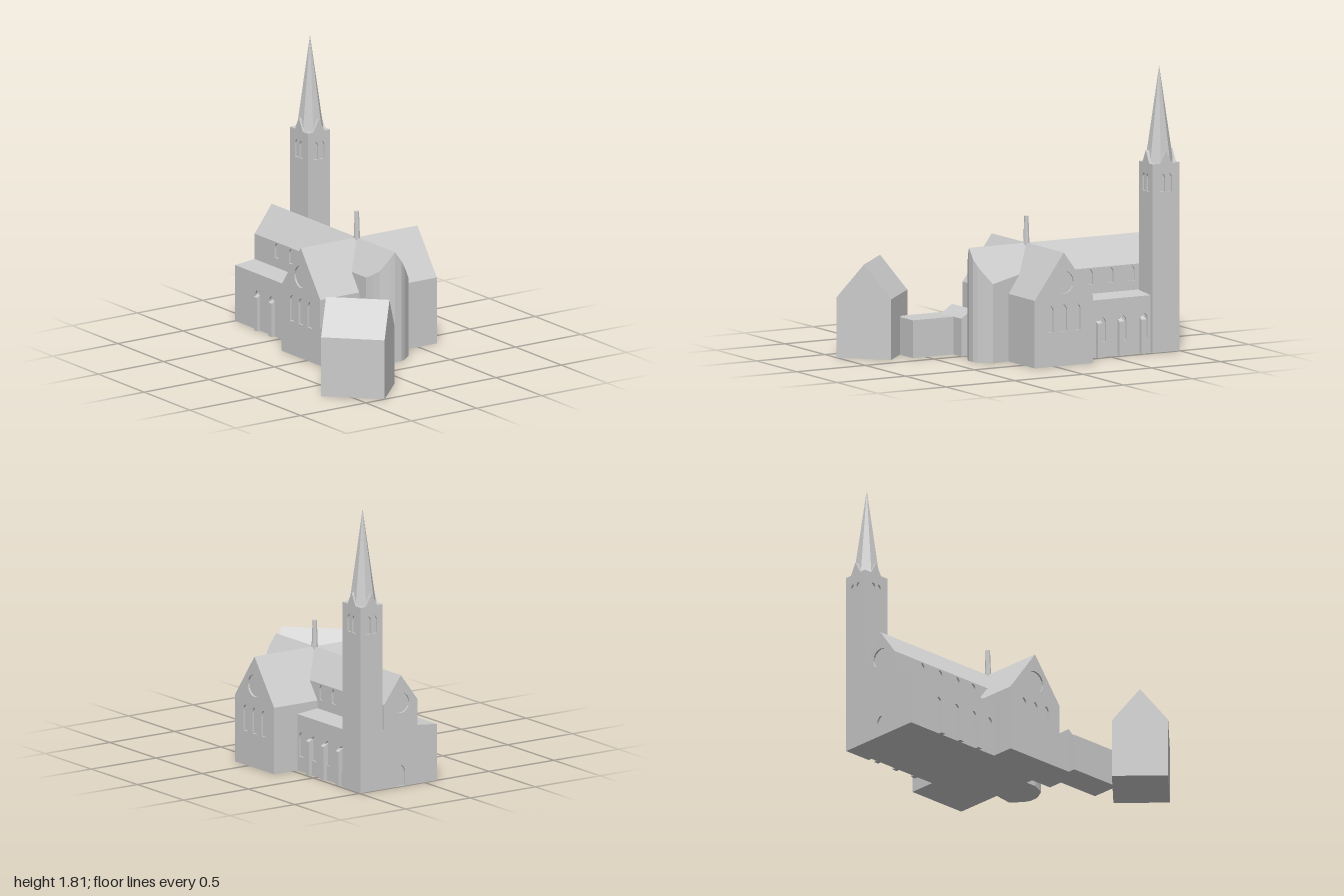
import * as THREE from 'three';

const stone = new THREE.MeshStandardMaterial({ color: 0xcccccc });
const T = 0.012; // depth of window recesses
const NZ = -0.18; // nave axis

function mesh(name, geo, parent, x = 0, y = 0, z = 0) {
  const m = new THREE.Mesh(geo, stone);
  m.name = name;
  m.position.set(x, y, z);
  parent.add(m);
  return m;
}

// Box given by its limits
function block(name, parent, x0, x1, y0, y1, z0, z1) {
  return mesh(name, new THREE.BoxGeometry(x1 - x0, y1 - y0, z1 - z0), parent,
    (x0 + x1) / 2, (y0 + y1) / 2, (z0 + z1) / 2);
}

const poly = (pts) => new THREE.Shape(pts.map(([x, y]) => new THREE.Vector2(x, y)));

function extrude(pts, depth, holes = []) {
  const s = poly(pts);
  s.holes.push(...holes);
  return new THREE.ExtrudeGeometry(s, { depth, bevelEnabled: false, curveSegments: 8 });
}

// Pointed window opening
function lancet(x, y0, y1, w) {
  const p = new THREE.Path(), h = w / 2, s = y1 - w * 0.8;
  p.moveTo(x - h, y0);
  p.lineTo(x + h, y0);
  p.lineTo(x + h, s);
  p.quadraticCurveTo(x + h, s + w * 0.5, x, y1);
  p.quadraticCurveTo(x - h, s + w * 0.5, x - h, s);
  p.lineTo(x - h, y0);
  return p;
}

function rose(x, y, r) {
  const p = new THREE.Path();
  p.absarc(x, y, r, 0, Math.PI * 2, false);
  return p;
}

const gablePts = (w, eave, ridge) =>
  [[-w / 2, 0], [w / 2, 0], [w / 2, eave], [0, ridge], [-w / 2, eave]];

const rect = (x0, x1, y0, y1) => [[x0, y0], [x1, y0], [x1, y1], [x0, y1]];

function flat(geo) {
  const g = geo.index ? geo.toNonIndexed() : geo;
  g.computeVertexNormals();
  return g;
}

function buildNave(root) {
  const g = new THREE.Group();
  g.name = 'nave';
  root.add(g);
  const z0 = -0.31, z1 = -0.05, a0 = -0.465, a1 = 0.1, x0 = -1 + T;

  // Clerestory and its pitched roof
  block('naveCore', g, x0, 0.1, 0, 0.545, z0 + T, z1 - T);
  const roof = extrude([[z0, 0.545], [z1, 0.545], [NZ, 0.72]], 1.1 - T);
  mesh('naveRoof', roof, g, 0.1, 0, 0).rotation.y = -Math.PI / 2;

  // Aisles under nearly flat lean-to roofs
  block('aisleCore', g, x0, -0.2, 0, 0.36, a0 + T, a1 - T);
  const cap = extrude([[a0, 0.36], [a1, 0.36], [a1, 0.365], [z1, 0.38], [z0, 0.38], [a0, 0.365]], 0.8 - T);
  mesh('aisleRoof', cap, g, -0.2, 0, 0).rotation.y = -Math.PI / 2;

  // Pierced side walls
  const xs = [-0.76, -0.605, -0.455, -0.32];
  const upper = extrude(rect(x0, -0.2, 0.36, 0.545), T, xs.map((x) => lancet(x, 0.44, 0.538, 0.042)));
  const lower = extrude(rect(x0, -0.2, 0, 0.36), T, xs.map((x) => lancet(x, 0.095, 0.255, 0.048)));
  mesh('clerestoryWall', upper, g, 0, 0, z1 - T);
  mesh('clerestoryWall', upper, g, 0, 0, z0);
  mesh('aisleWall', lower, g, 0, 0, a1 - T);
  mesh('aisleWall', lower, g, 0, 0, a0);

  // West front with rose window and door
  const west = extrude(
    [[-0.33, 0], [a1, 0], [a1, 0.365], [z1, 0.38], [z1, 0.545], [NZ, 0.72], [z0, 0.545], [z0, 0.38], [-0.33, 0.378]],
    T, [rose(NZ, 0.54, 0.065), lancet(NZ, 0.004, 0.14, 0.065)]);
  mesh('westFront', west, g, x0, 0, 0).rotation.y = -Math.PI / 2;

  // Buttresses with sloping caps, on both sides
  const butt = extrude([[-0.01, 0], [0.024, 0], [0.024, 0.218], [-0.01, 0.238]], 0.033);
  for (const x of [-0.742, -0.582, -0.423]) {
    mesh('buttress', butt, g, x + 0.0165, 0, a1).rotation.y = -Math.PI / 2;
    mesh('buttress', butt, g, x - 0.0165, 0, a0).rotation.y = Math.PI / 2;
  }
}

function buildTransept(root) {
  const g = new THREE.Group();
  g.name = 'transept';
  g.position.x = -0.0675;
  root.add(g);
  const pts = gablePts(0.425, 0.43, 0.72), z0 = -0.645, z1 = 0.25;
  mesh('transeptCore', extrude(pts, z1 - z0 - 2 * T), g, 0, 0, z0 + T);
  const front = extrude(pts, T,
    [rose(0, 0.53, 0.072), ...[-0.098, 0, 0.098].map((x) => lancet(x, 0.22, 0.39, 0.046))]);
  mesh('transeptFront', front, g, 0, 0, z1 - T);
  mesh('transeptBack', front, g, 0, 0, z0);

  // Small spirelet over the crossing
  mesh('crossingSpirelet', flat(new THREE.CylinderGeometry(0.014, 0.021, 0.2, 8)), g, 0, 0.79, NZ);
}

// Apse: curved plan in two halves, cut off by the sloping roof
function buildApse(root) {
  const halves = [
    [[0, NZ], [0.35, NZ], [0.338, -0.145], [0.308, -0.09], [0.265, -0.068], [0.22, -0.05], [0, -0.05]],
    [[0, NZ], [0.35, NZ], [0.35, -0.23], [0.335, -0.262], [0.308, -0.297], [0.27, -0.34], [0.06, -0.31], [0, -0.31]],
  ];
  for (const h of halves) {
    const geo = extrude(h.map(([x, z]) => [x, -z]), 1).rotateX(-Math.PI / 2);
    const p = geo.attributes.position;
    for (let i = 0; i < p.count; i++) {
      if (p.getY(i) > 0.5) p.setY(i, 0.72 - 1.346 * Math.abs(p.getZ(i) - NZ));
    }
    mesh('apse', flat(geo), root);
  }
}

function buildTower(root) {
  const g = new THREE.Group();
  g.name = 'tower';
  g.position.set(-0.9025, 0, -0.406);
  root.add(g);
  const hx = 0.0975, hz = 0.085, H = 1.2;
  block('towerCore', g, -hx + T, hx - T, 0, H, -hz + T, hz - T);

  // Four walls with paired belfry openings, each topped by a small gable
  for (let i = 0; i < 4; i++) {
    const side = new THREE.Group();
    side.name = 'towerSide';
    side.rotation.y = i * Math.PI / 2;
    g.add(side);
    const across = i % 2 ? hz - T : hx, out = i % 2 ? hx : hz;
    const wall = extrude(rect(-across, across, 0, H), T,
      [-0.024, 0.024].map((x) => lancet(x, 1.02, 1.135, 0.036)));
    mesh('towerWall', wall, side, 0, 0, out - T);
    mesh('towerGable', extrude([[-0.042, H], [0.042, H], [0, 1.28]], out), side);
  }

  const spire = new THREE.ConeGeometry(0.09, 0.61, 8).rotateY(Math.PI / 8).scale(1, 1, 0.94);
  mesh('spire', flat(spire), g, 0, H + 0.305, 0);
}

function buildAnnexes(root) {
  // Gabled sacristy and flat link
  mesh('sacristy', extrude(gablePts(0.155, 0.24, 0.295), 0.25), root, 0.2225, 0, 0);
  block('link', root, 0.225, 0.595, 0, 0.24, 0.1, 0.3);

  // Detached hall turned by 45 degrees
  const hall = extrude(gablePts(0.354, 0.385, 0.6), 0.405).translate(0, 0, -0.2025);
  mesh('hall', hall, root, 0.732, 0, 0.374).rotation.y = -Math.PI / 4;
}

export function createModel() {
  const root = new THREE.Group();
  root.name = 'church';
  buildNave(root);
  buildTransept(root);
  buildApse(root);
  buildTower(root);
  buildAnnexes(root);
  return root;
}
